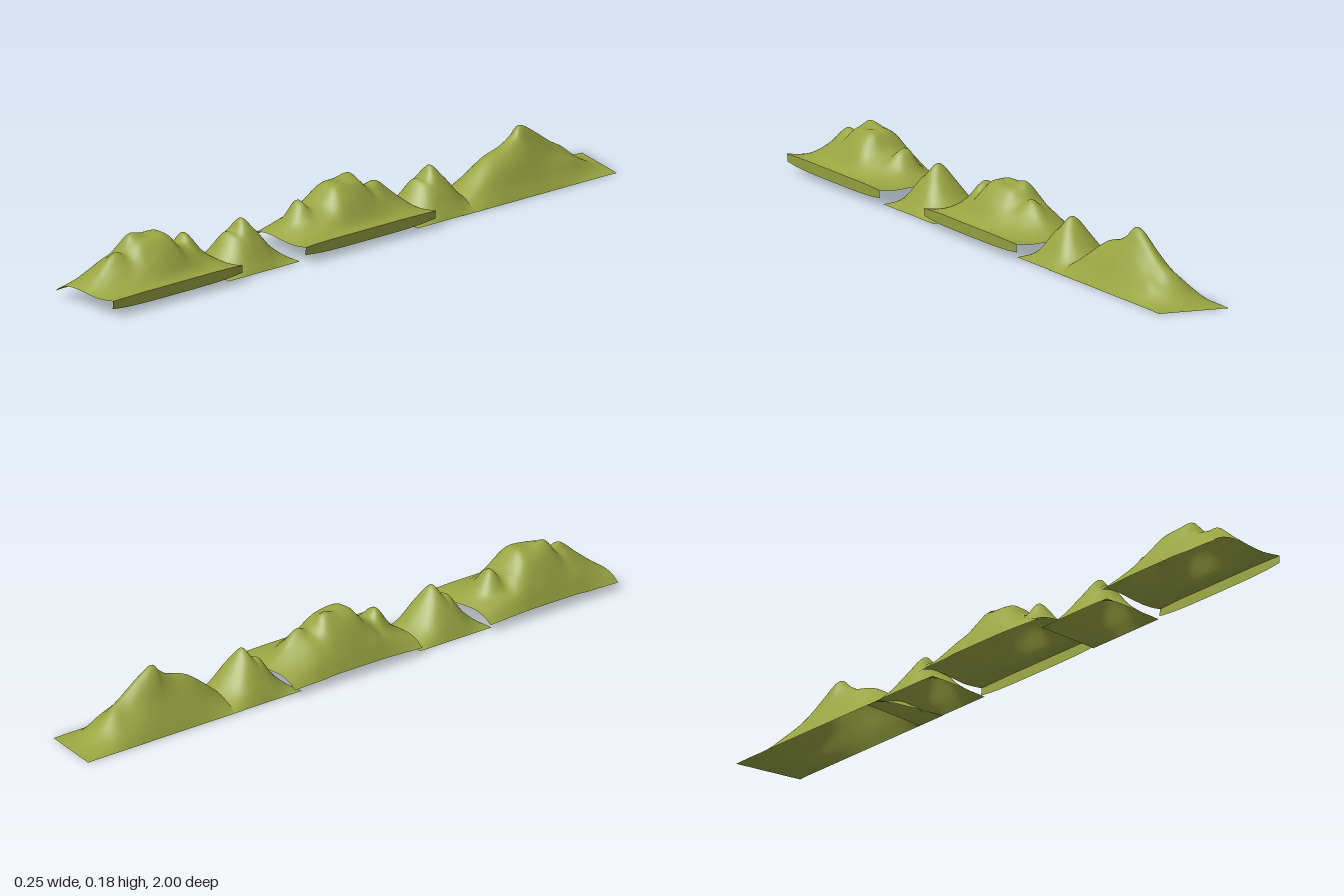
import * as THREE from 'three';

const grass = new THREE.MeshStandardMaterial({ color: 0x98a541, side: THREE.DoubleSide });
grass.name = 'mossGreen';

// smooth interpolation through a list of values
function spline(list, t) {
  const n = list.length - 1;
  const i = Math.min(Math.floor(t), n - 1), f = t - i;
  const b = list[i], c = list[i + 1];
  const a = i > 0 ? list[i - 1] : 2 * b - c;
  const d = i + 2 <= n ? list[i + 2] : 2 * c - b;
  return b + 0.5 * f * (c - a + f * (2 * a - 5 * b + 4 * c - d + f * (3 * (b - c) + d - a)));
}

// open land surface: each row is [z, heights across x], running front to back
function terrain(name, xs, rows, shift = () => 0) {
  const nu = (xs.length - 1) * 5, nv = (rows.length - 1) * 5;
  const pos = [], index = [];
  for (let j = 0; j <= nv; j++) {
    const v = j / 5;
    const z = spline(rows.map(r => r[0]), v);
    const heights = xs.map((_, k) => spline(rows.map(r => r[k + 1]), v));
    for (let i = 0; i <= nu; i++) {
      const x = spline(xs, i / 5);
      pos.push(x, Math.max(0, spline(heights, i / 5)), z + shift(x, v / (rows.length - 1)));
      if (i < nu && j < nv) {
        const a = j * (nu + 1) + i, c = a + nu + 1;
        index.push(a, a + 1, c, a + 1, c + 1, c);
      }
    }
  }
  const g = new THREE.BufferGeometry();
  g.setAttribute('position', new THREE.Float32BufferAttribute(pos, 3));
  g.setIndex(index);
  g.computeVertexNormals();
  const mesh = new THREE.Mesh(g, grass);
  mesh.name = name;
  return mesh;
}

// broad raised ridge with several summits
const broadX = [-0.127, -0.1, -0.065, -0.03, 0, 0.03, 0.065, 0.1, 0.127];
const broadRows = [
  [0.245, 0.022, 0.040, 0.050, 0.051, 0.050, 0.047, 0.046, 0.050, 0.054],
  [0.190, 0.024, 0.052, 0.073, 0.088, 0.093, 0.080, 0.064, 0.056, 0.055],
  [0.130, 0.025, 0.070, 0.102, 0.122, 0.140, 0.112, 0.080, 0.062, 0.056],
  [0.090, 0.028, 0.077, 0.115, 0.130, 0.134, 0.120, 0.095, 0.066, 0.056],
  [0.050, 0.028, 0.082, 0.138, 0.174, 0.164, 0.150, 0.112, 0.070, 0.056],
  [0.000, 0.028, 0.086, 0.146, 0.167, 0.163, 0.162, 0.128, 0.073, 0.056],
  [-0.050, 0.028, 0.084, 0.138, 0.164, 0.166, 0.160, 0.125, 0.071, 0.056],
  [-0.090, 0.028, 0.080, 0.112, 0.124, 0.126, 0.120, 0.100, 0.067, 0.056],
  [-0.125, 0.027, 0.068, 0.090, 0.112, 0.114, 0.104, 0.084, 0.062, 0.056],
  [-0.155, 0.026, 0.060, 0.086, 0.134, 0.130, 0.098, 0.073, 0.060, 0.056],
  [-0.200, 0.024, 0.050, 0.066, 0.080, 0.080, 0.071, 0.060, 0.056, 0.055],
  [-0.245, 0.022, 0.040, 0.049, 0.050, 0.048, 0.046, 0.045, 0.048, 0.053],
];

// narrow single-summit hill
const narrowX = [-0.107, -0.085, -0.055, -0.025, 0, 0.025, 0.05, 0.075, 0.097];
const hillRows = [
  [0.135, 0.003, 0.004, 0.004, 0.004, 0.004, 0.004, 0.004, 0.004, 0.003],
  [0.090, 0.003, 0.018, 0.034, 0.046, 0.048, 0.042, 0.030, 0.016, 0.003],
  [0.050, 0.003, 0.035, 0.070, 0.098, 0.098, 0.086, 0.062, 0.030, 0.003],
  [0.028, 0.003, 0.040, 0.082, 0.102, 0.106, 0.100, 0.074, 0.034, 0.003],
  [0.000, 0.003, 0.042, 0.088, 0.126, 0.140, 0.118, 0.080, 0.036, 0.003],
  [-0.035, 0.003, 0.038, 0.074, 0.096, 0.104, 0.098, 0.072, 0.032, 0.003],
  [-0.080, 0.003, 0.022, 0.038, 0.048, 0.052, 0.048, 0.036, 0.018, 0.003],
  [-0.135, 0.003, 0.004, 0.004, 0.004, 0.004, 0.004, 0.004, 0.004, 0.003],
];

// long tail mountain with the highest peak
const mountainRows = [
  [-0.385, 0.002, 0.003, 0.004, 0.004, 0.004, 0.004, 0.004, 0.003, 0.002],
  [-0.450, 0.002, 0.020, 0.038, 0.052, 0.056, 0.050, 0.040, 0.020, 0.002],
  [-0.530, 0.002, 0.036, 0.076, 0.104, 0.112, 0.102, 0.078, 0.036, 0.002],
  [-0.600, 0.002, 0.042, 0.090, 0.126, 0.133, 0.124, 0.092, 0.040, 0.002],
  [-0.640, 0.002, 0.044, 0.096, 0.146, 0.156, 0.134, 0.094, 0.040, 0.002],
  [-0.670, 0.002, 0.044, 0.098, 0.166, 0.180, 0.138, 0.092, 0.040, 0.002],
  [-0.720, 0.002, 0.042, 0.090, 0.138, 0.154, 0.122, 0.080, 0.036, 0.002],
  [-0.780, 0.002, 0.034, 0.068, 0.098, 0.112, 0.090, 0.066, 0.030, 0.002],
  [-0.830, 0.002, 0.026, 0.054, 0.078, 0.082, 0.066, 0.052, 0.022, 0.002],
  [-0.880, 0.002, 0.014, 0.028, 0.040, 0.044, 0.040, 0.028, 0.012, 0.002],
  [-0.930, 0.002, 0.006, 0.010, 0.014, 0.016, 0.014, 0.010, 0.005, 0.002],
  [-0.975, 0.001, 0.001, 0.001, 0.001, 0.001, 0.001, 0.001, 0.001, 0.001],
];

function broadRidge(name, z, flip) {
  const rows = flip ? broadRows.map(([d, ...h]) => [-d, ...h]).reverse() : broadRows;
  const slant = (x, t) => flip ? 0.05 * x * (1 - t) : 0.02 * x * (1 - 2 * t);
  const group = new THREE.Group();
  group.name = name;
  group.add(terrain('ridgeSurface', broadX, rows, slant));
  // folded lip down the raised side
  const lip = rows.map(r => [r[0], r[9], 0.022 + 0.008 * Math.pow(r[0] / 0.245, 4)]);
  group.add(terrain('ridgeLip', [0.127, 0.125], lip, slant));
  group.position.z = z;
  return group;
}

export function createModel() {
  const model = new THREE.Group();
  model.name = 'mountainRange';
  model.add(broadRidge('frontRidge', 0.752, false), broadRidge('middleRidge', 0.012, true));
  [['frontHill', 0.395], ['backHill', -0.325]].forEach(([name, z]) => {
    const hill = terrain(name, narrowX, hillRows);
    hill.position.z = z;
    model.add(hill);
  });
  model.add(terrain('tailMountain', narrowX, mountainRows, x => 0.24 * x));
  return model;
}
